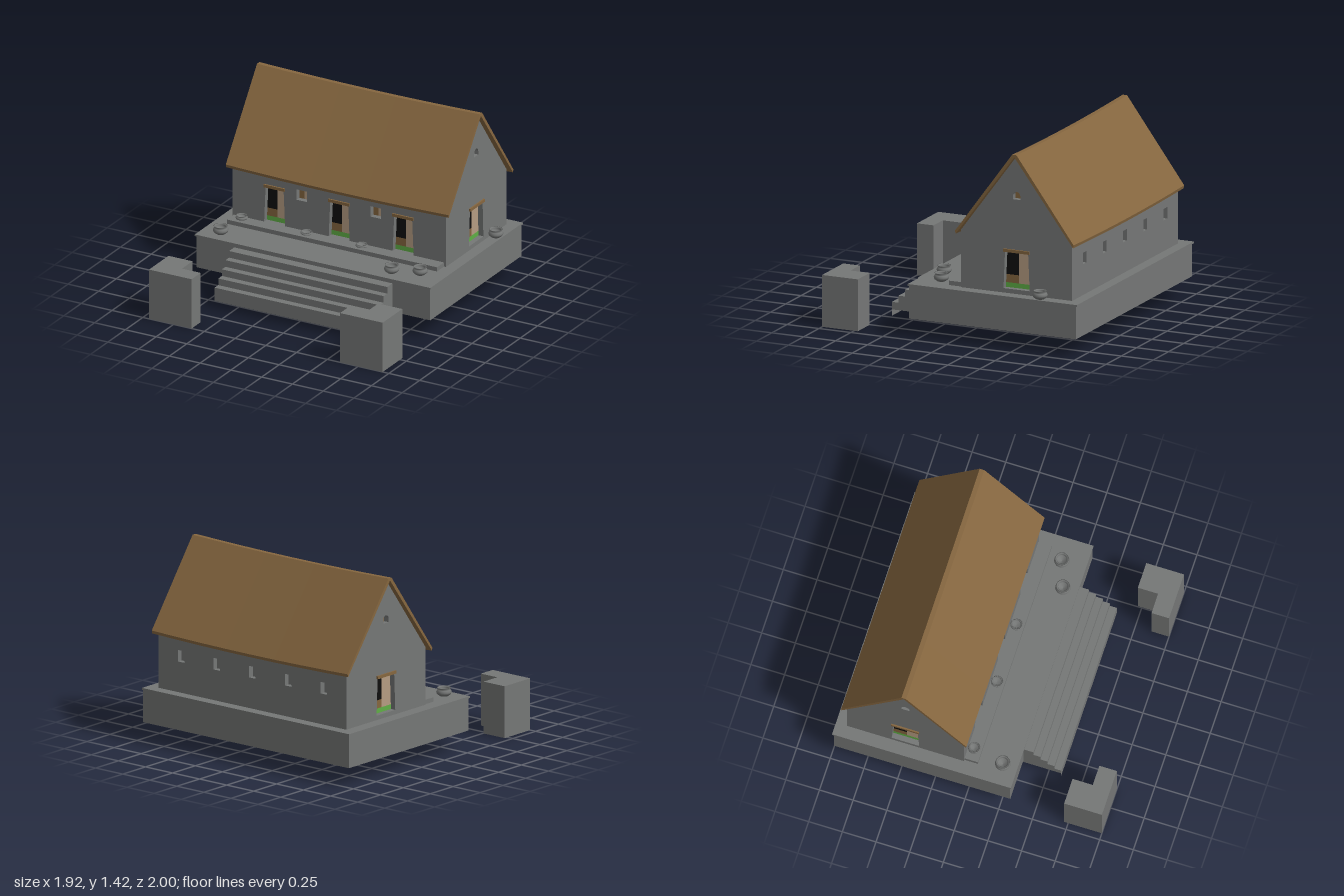
import * as THREE from 'three';

const paint = (name, color, side = THREE.FrontSide) => {
  const m = new THREE.MeshStandardMaterial({ color, side });
  m.name = name;
  return m;
};

export function createModel() {
  const model = new THREE.Group();
  model.name = 'longHouse';
  const stone = paint('greyStone', 0x757776, THREE.DoubleSide);
  const thatch = paint('brownThatch', 0x85663f);
  const tan = paint('tanPlaster', 0xb59c82);
  const green = paint('greenTrim', 0x5fae45);
  const black = paint('darkInterior', 0x0e0e0e);

  const add = (parent, name, geometry, material) => {
    const mesh = new THREE.Mesh(geometry, material);
    mesh.name = name;
    parent.add(mesh);
    return mesh;
  };
  // Box given by its limits on each axis
  const box = (parent, name, material, x0, x1, y0, y1, z0, z1) => {
    const mesh = add(parent, name, new THREE.BoxGeometry(x1 - x0, y1 - y0, z1 - z0), material);
    mesh.position.set((x0 + x1) / 2, (y0 + y1) / 2, (z0 + z1) / 2);
    return mesh;
  };
  const polygon = pts => new THREE.Shape(pts.map(p => new THREE.Vector2(...p)));
  // Flat faces from a list of four-cornered loops
  const quads = loops => {
    const pts = loops.flatMap(q => [0, 1, 2, 0, 2, 3].map(i => new THREE.Vector3(...q[i])));
    const g = new THREE.BufferGeometry().setFromPoints(pts);
    g.computeVertexNormals();
    return g;
  };
  // Upright walls around an outline of [x, z] points, open below
  const outlineWalls = (pts, y0, y1) => quads(pts.map(([x, z], i) => {
    const [u, w] = pts[(i + 1) % pts.length];
    return [[x, y0, z], [u, y0, w], [u, y1, w], [x, y1, z]];
  }));

  // Hollow platform with an overhanging slab and a low terrace
  add(model, 'platformWalls', outlineWalls([[-0.95, 0.32], [0.95, 0.32], [0.95, -0.99], [-0.95, -0.99]], 0.14, 0.38), stone);
  box(model, 'platformSlab', stone, -0.96, 0.955, 0.38, 0.393, -1, 0.327);
  box(model, 'terrace', stone, -0.857, 0.852, 0.393, 0.425, -0.08, 0.05);

  // Hollow stairs: risers, treads and two stepped sides
  const stairs = new THREE.Group();
  stairs.name = 'stairs';
  model.add(stairs);
  const W = 0.643, steps = 5, profile = [[0.28, 0.1], [0.6, 0.1]], faces = [];
  for (let i = 0; i < steps; i++) {
    const z = 0.6 - i * 0.0515, back = i === steps - 1 ? 0.32 : z - 0.0515;
    const y = 0.155 + i * 0.051, low = i ? y - 0.051 : 0.053;
    faces.push([[-W, low, z], [W, low, z], [W, y, z], [-W, y, z]]);
    faces.push([[-W, y, z], [W, y, z], [W, y, back], [-W, y, back]]);
    profile.push([z, y], [back, y]);
  }
  profile.push([0.32, 0.14], [0.28, 0.14]);
  add(stairs, 'stepFaces', quads(faces), stone);
  for (const s of [-1, 1]) {
    const side = add(stairs, 'stairSide', new THREE.ShapeGeometry(polygon(profile.map(([z, y]) => [-z, y]))), stone);
    side.rotation.y = Math.PI / 2;
    side.position.x = s * W;
  }

  // Pair of hollow L-shaped corner blocks in front
  for (const s of [-1, 1]) {
    const pts = [[0.95, 1], [0.95, 0.72], [0.755, 0.72], [0.755, 0.87], [0.603, 0.87], [0.603, 1]].map(([x, z]) => [s * x, z]);
    if (s < 0) pts.reverse();
    const block = new THREE.Group();
    block.name = 'cornerBlock';
    model.add(block);
    add(block, 'blockWalls', outlineWalls(pts, 0, 0.38), stone);
    const top = add(block, 'blockTop', new THREE.ShapeGeometry(polygon(pts.map(([x, z]) => [x, -z]))), stone);
    top.rotation.x = -Math.PI / 2;
    top.position.y = 0.38;
  }

  // Openings cut in the walls, each with painted panels set behind
  const depth = 0.04;
  const doorway = (wall, shape, x, width) => {
    const b = width / 2, t = b - 0.012;
    shape.holes.push(new THREE.Path([[-b, 0.425], [b, 0.425], [t, 0.7], [-t, 0.7]].map(([u, v]) => new THREE.Vector2(x + u, v))));
    const z0 = -depth - 0.008, z1 = -depth;
    box(wall, 'doorDarkPanel', black, x - b, x, 0.52, 0.71, z0, z1);
    box(wall, 'doorBrownPanel', thatch, x - b, x, 0.46, 0.52, z0, z1);
    box(wall, 'doorTanPanel', tan, x, x + b, 0.46, 0.71, z0, z1);
    box(wall, 'doorGreenSill', green, x - b, x + b, 0.425, 0.46, z0, z1);
    box(wall, 'doorLintel', thatch, x - b, x + b, 0.694, 0.716, -0.02, 0.011);
  };
  const windowHole = (wall, shape, x, y, w, h, left, right, arched) => {
    const hole = new THREE.Path();
    hole.moveTo(x - w / 2, y - h / 2);
    hole.lineTo(x + w / 2, y - h / 2);
    if (arched) hole.absarc(x, y + h / 2 - w / 2, w / 2, 0, Math.PI);
    else {
      hole.lineTo(x + w / 2, y + h / 2);
      hole.lineTo(x - w / 2, y + h / 2);
    }
    hole.closePath();
    shape.holes.push(hole);
    box(wall, 'windowLeftPanel', left, x - w / 2, x, y - h / 2, y + h / 2, -depth - 0.008, -depth);
    box(wall, 'windowRightPanel', right, x, x + w / 2, y - h / 2, y + h / 2, -depth - 0.008, -depth);
  };
  const makeWall = (name, pts, x, z, turn, cut) => {
    const wall = new THREE.Group(), shape = polygon(pts);
    wall.name = name;
    wall.position.set(x, 0, z);
    wall.rotation.y = turn;
    model.add(wall);
    cut(wall, shape);
    const g = new THREE.ExtrudeGeometry(shape, { depth, bevelEnabled: false, curveSegments: 8 });
    g.translate(0, 0, -depth);
    add(wall, name + 'Face', g, stone);
  };
  const L = 0.866, D = 0.435, midZ = -0.485;
  const longSide = [[-L, 0.39], [L, 0.39], [L, 0.805], [-L, 0.805]];
  const gable = [[-D, 0.39], [D, 0.39], [D, 0.815], [0, 1.4], [-D, 0.815]];
  makeWall('frontWall', longSide, 0, midZ + D, 0, (wall, shape) => {
    for (const x of [-0.525, 0, 0.52]) doorway(wall, shape, x, 0.17);
    for (const x of [-0.305, 0.298]) windowHole(wall, shape, x, 0.69, 0.083, 0.08, thatch, tan);
  });
  makeWall('backWall', longSide, 0, midZ - D, Math.PI, (wall, shape) => {
    for (let i = -2; i <= 2; i++) windowHole(wall, shape, i * 0.33, 0.66, 0.06, 0.085, stone, stone);
  });
  for (const s of [-1, 1]) makeWall(s > 0 ? 'leftGable' : 'rightGable', gable, s * (L + 0.001), midZ, s * Math.PI / 2, (wall, shape) => {
    doorway(wall, shape, 0, 0.205);
    windowHole(wall, shape, 0, 1.112, 0.058, 0.056, thatch, thatch, true);
  });

  // Thatched roof, sagging gently towards the middle
  const section = polygon([[-0.46, 0.79], [-0.465, 0.812], [-0.017, 1.42], [0.017, 1.42], [0.465, 0.812], [0.46, 0.79], [0, 1.402]]);
  const roof = new THREE.ExtrudeGeometry(section, { depth: 1.81, steps: 8, bevelEnabled: false });
  roof.translate(0, 0, -0.905);
  roof.rotateY(Math.PI / 2);
  const p = roof.attributes.position;
  for (let i = 0; i < p.count; i++) p.setY(i, p.getY(i) - 0.014 * (1 - (p.getX(i) / 0.905) ** 2));
  roof.computeVertexNormals();
  add(model, 'roof', roof, thatch).position.z = midZ;

  // Round pots: [x, base, z, radius, height]
  const potProfile = [[0, 0], [0.55, 0], [0.9, 0.25], [1, 0.5], [0.85, 0.75], [0.72, 0.85], [0.9, 1], [0.78, 1], [0.62, 0.85], [0.7, 0.5], [0, 0.25]];
  for (const [x, y, z, r, h] of [
    [-0.81, 0.393, 0.22, 0.056, 0.06], [0.58, 0.393, 0.22, 0.055, 0.06],
    [0.772, 0.393, 0.15, 0.055, 0.06], [0.91, 0.393, -0.69, 0.055, 0.06],
    [-0.767, 0.425, -0.005, 0.045, 0.033], [-0.24, 0.425, -0.005, 0.045, 0.022], [0.21, 0.425, -0.005, 0.045, 0.022],
  ]) {
    const pot = new THREE.LatheGeometry(potProfile.map(([a, b]) => new THREE.Vector2(a * r, b * h)), 16);
    add(model, 'pot', pot, stone).position.set(x, y, z);
  }
  return model;
}
